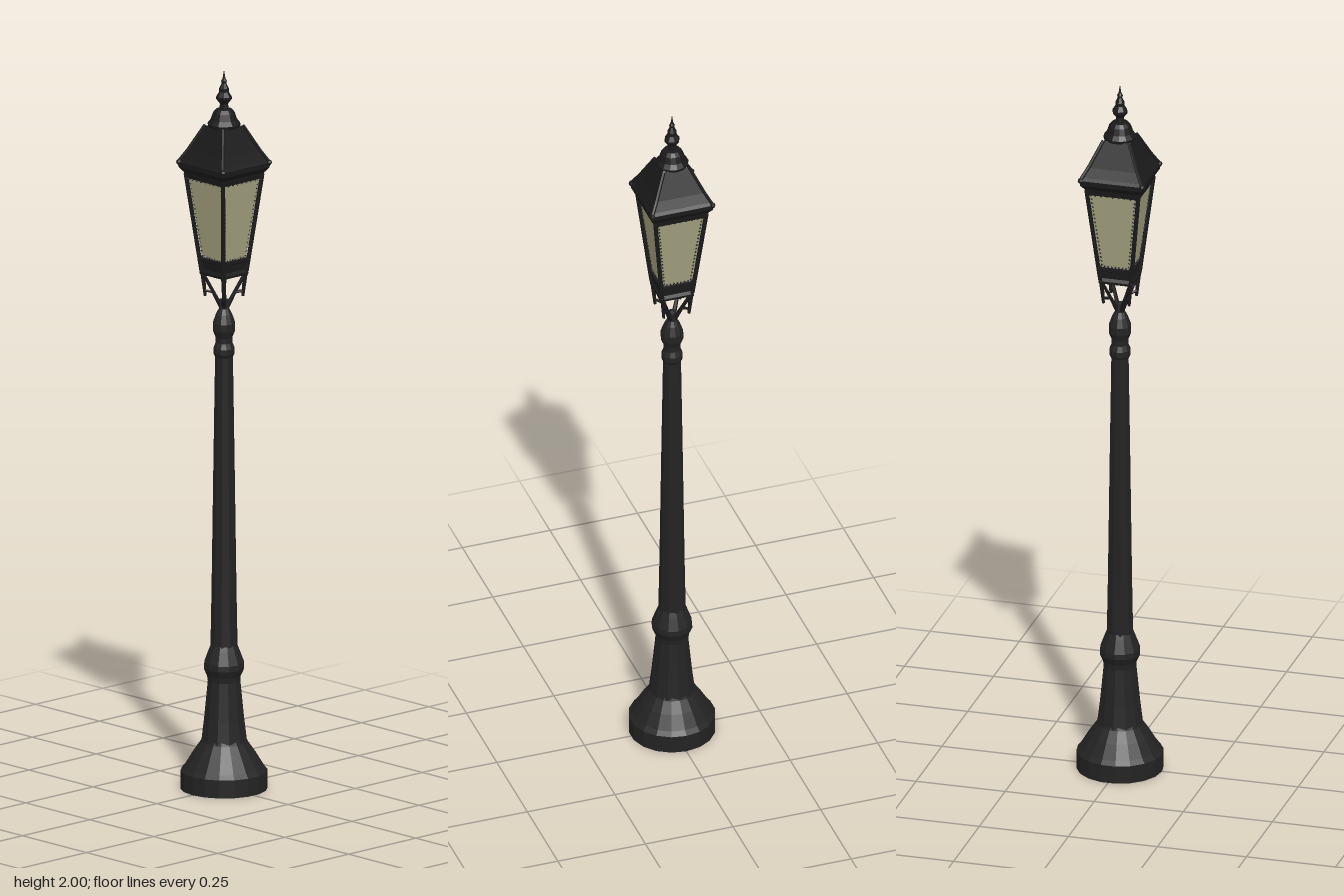
import * as THREE from 'three';
import { mergeGeometries } from 'three/addons/utils/BufferGeometryUtils.js';

const paint = (name, color) => {
  const m = new THREE.MeshStandardMaterial({ color, flatShading: true });
  m.name = name;
  return m;
};

export function createModel() {
  const post = paint('postIron', 0x232323);
  const iron = paint('lanternIron', 0x1a1a1a);
  const glass = paint('paleGlass', 0xa3a17f);
  glass.side = THREE.DoubleSide;
  const model = new THREE.Group();
  model.name = 'streetLamp';

  const add = (name, geometry, material) => {
    const mesh = new THREE.Mesh(geometry, material);
    mesh.name = name;
    model.add(mesh);
    return mesh;
  };
  // Turned part from [radius, height] pairs, listed bottom to top
  const turned = (name, pts, sides, material) =>
    add(name, new THREE.LatheGeometry(pts.map(p => new THREE.Vector2(...p)), sides), material);
  // Square part from [half width, height] pairs
  const square = (name, pts, material) => {
    const g = new THREE.LatheGeometry(pts.map(([w, y]) => new THREE.Vector2(w * Math.SQRT2, y)), 4);
    return add(name, g.rotateY(Math.PI / 4), material);
  };
  // Rod between two points
  const rod = (a, b, r0, r1 = r0, sides = 6) => {
    const from = new THREE.Vector3(...a), dir = new THREE.Vector3(...b).sub(from);
    const len = dir.length();
    const g = new THREE.CylinderGeometry(r1, r0, len, sides).translate(0, len / 2, 0);
    const q = new THREE.Quaternion().setFromUnitVectors(new THREE.Vector3(0, 1, 0), dir.normalize());
    return g.applyQuaternion(q).translate(from.x, from.y, from.z);
  };

  // Post
  turned('base', [[0, 0], [0.118, 0], [0.118, 0.05], [0.108, 0.062], [0.085, 0.1], [0.064, 0.13], [0.06, 0.14]], 18, post);
  turned('pedestal', [[0.064, 0.125], [0.056, 0.19], [0.045, 0.3], [0.047, 0.315], [0.056, 0.335],
    [0.055, 0.35], [0.042, 0.385], [0.036, 0.4]], 12, post);
  turned('shaft', [[0.037, 0.39], [0.034, 0.55], [0.029, 0.9], [0.024, 1.22]], 10, post);
  turned('collar', [[0.024, 1.2], [0.029, 1.21], [0.029, 1.225], [0.023, 1.24], [0.023, 1.255], [0.031, 1.275],
    [0.031, 1.295], [0.022, 1.32], [0.014, 1.335], [0.012, 1.36], [0, 1.365]], 12, post);

  // Lantern body
  square('lanternFloor', [[0, 1.43], [0.046, 1.43], [0.047, 1.437], [0.042, 1.445], [0.043, 1.465],
    [0.048, 1.468], [0.048, 1.476], [0.04, 1.478], [0, 1.478]], iron);
  square('glassPanes', [[0.041, 1.465], [0.069, 1.71]], glass);
  square('eave', [[0, 1.698], [0.074, 1.698], [0.077, 1.715], [0.087, 1.728], [0.088, 1.742],
    [0.082, 1.75], [0, 1.75]], iron);
  square('roof', [[0.083, 1.748], [0.068, 1.775], [0.052, 1.81], [0.036, 1.845]], iron);

  // Round cap and finial
  turned('roofCap', [[0.03, 1.835], [0.043, 1.842], [0.045, 1.85], [0.036, 1.862], [0.03, 1.88],
    [0.022, 1.89], [0, 1.893]], 14, iron);
  turned('finial', [[0.013, 1.885], [0.011, 1.905], [0.021, 1.918], [0.021, 1.925], [0.013, 1.938],
    [0.013, 1.948], [0.006, 1.962], [0.008, 1.968], [0.004, 1.975], [0, 2]], 8, iron);

  // Corner parts, repeated on the four diagonals
  const rails = [], ridges = [], brackets = [], knobs = [], beads = [];
  for (const sx of [1, -1]) for (const sz of [1, -1]) {
    const c = (w, y) => [sx * w, y, sz * w];
    rails.push(rod(c(0.043, 1.44), c(0.073, 1.71), 0.006));
    ridges.push(rod(c(0.084, 1.748), c(0.068, 1.777), 0.005), rod(c(0.068, 1.777), c(0.036, 1.845), 0.005));
    // Arms carrying the lantern and drops hanging at its corners
    brackets.push(
      rod(c(0.004, 1.335), c(0.022, 1.385), 0.007, 0.005),
      rod(c(0.022, 1.385), c(0.041, 1.435), 0.005),
      rod(c(0.02, 1.38), c(0.037, 1.385), 0.004),
      rod(c(0.036, 1.37), c(0.041, 1.44), 0.004, 0.007));
    knobs.push(new THREE.SphereGeometry(0.008, 6, 4).translate(...c(0.086, 1.742)));
  }

  // Beaded trim round each pane
  const bead = (x, y, z) => new THREE.OctahedronGeometry(0.0035).translate(x, y, z);
  for (let side = 0; side < 4; side++) {
    const row = [];
    for (let i = 0; i <= 18; i++) {
      const t = i / 18, y = 1.485 + 0.21 * t, w = 0.0435 + 0.0245 * t;
      row.push(bead(w - 0.006, y, w), bead(0.006 - w, y, w));
    }
    for (let i = 0; i <= 8; i++) {
      const t = i / 4 - 1;
      row.push(bead(t * 0.04, 1.481, 0.044), bead(t * 0.066, 1.696, 0.07));
    }
    beads.push(mergeGeometries(row).rotateY(side * Math.PI / 2));
  }

  add('cornerRails', mergeGeometries(rails), iron);
  add('roofRidges', mergeGeometries(ridges), iron);
  add('supportBrackets', mergeGeometries(brackets), iron);
  add('eaveKnobs', mergeGeometries(knobs), iron);
  add('beadedTrim', mergeGeometries(beads), iron);
  return model;
}
